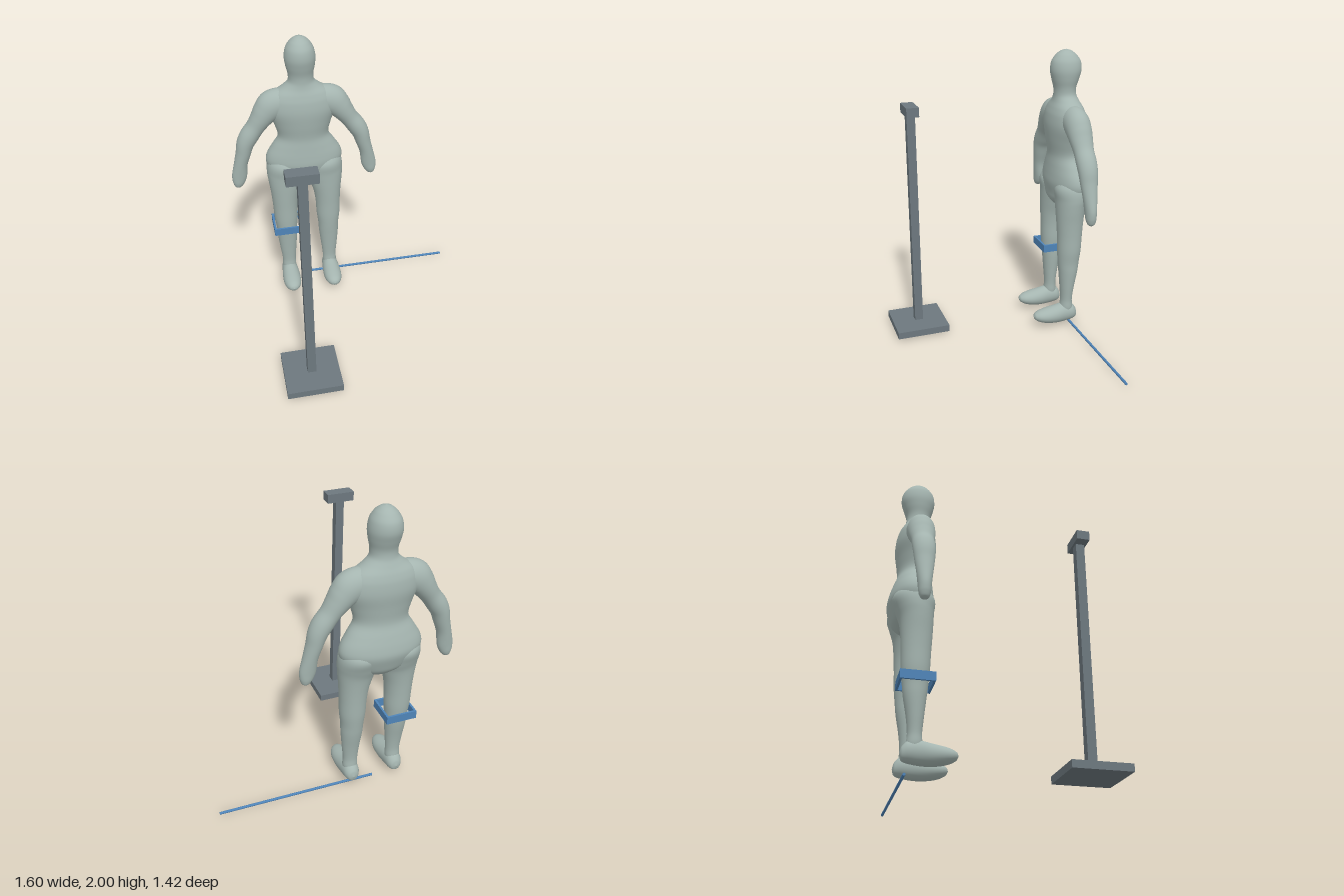
import * as THREE from 'three';

const mat = (name, color) => {
  const m = new THREE.MeshStandardMaterial({ color });
  m.name = name;
  return m;
};

// Smooth loft through sections [x, y, z, ru, rv]; v is the fixed axis of rv
function loft(sections, v, steps = 5, sides = 32) {
  const path = new THREE.CatmullRomCurve3(sections.map(s => new THREE.Vector3(s[0], s[1], s[2])));
  const radii = new THREE.CatmullRomCurve3(sections.map((s, i) => new THREE.Vector3(s[3], s[4], i * 0.1)));
  const rows = (sections.length - 1) * steps;
  const pos = [], idx = [];
  for (let i = 0; i <= rows; i++) {
    const p = path.getPoint(i / rows), r = radii.getPoint(i / rows);
    const u = new THREE.Vector3().crossVectors(v, path.getTangent(i / rows)).normalize();
    for (let j = 0; j < sides; j++) {
      const a = (j / sides) * Math.PI * 2;
      const q = p.clone()
        .addScaledVector(u, Math.max(r.x, 0.001) * Math.cos(a))
        .addScaledVector(v, Math.max(r.y, 0.001) * Math.sin(a));
      pos.push(q.x, q.y, q.z);
      if (i < rows) {
        const k = (j + 1) % sides, b = i * sides, c = b + sides;
        idx.push(b + j, b + k, c + k, b + j, c + k, c + j);
      }
    }
  }
  const g = new THREE.BufferGeometry();
  g.setAttribute('position', new THREE.Float32BufferAttribute(pos, 3));
  g.setIndex(idx);
  g.computeVertexNormals();
  return g;
}

export function createModel() {
  const model = new THREE.Group();
  const skin = mat('paleGreyGreen', 0xa5b5b0);
  const steel = mat('slateGrey', 0x6d787e);
  const blue = mat('blue', 0x4f84b8);
  const X = new THREE.Vector3(0, 1, 0), Z = new THREE.Vector3(0, 0, 1);

  const add = (parent, name, geo, m, x = 0, y = 0, z = 0) => {
    const mesh = new THREE.Mesh(geo, m);
    mesh.name = name;
    mesh.position.set(x, y, z);
    parent.add(mesh);
    return mesh;
  };

  // Figure
  const figure = new THREE.Group();
  figure.name = 'figure';
  figure.position.x = -0.275;
  model.add(figure);

  // Section from [centre x, y, half width, front z, back z]
  const slice = side => ([x, y, w, f, b]) => [x * side, y, (f + b) / 2, w, (f - b) / 2];

  // Torso, neck and head: y, half width, front z, back z
  const torso = [
    [0.885, 0.01, -0.54, -0.56], [0.9, 0.09, -0.48, -0.62], [0.95, 0.19, -0.44, -0.668],
    [1.0, 0.245, -0.432, -0.688], [1.07, 0.272, -0.422, -0.707], [1.13, 0.262, -0.425, -0.7],
    [1.2, 0.222, -0.432, -0.68], [1.28, 0.178, -0.438, -0.655], [1.38, 0.2, -0.425, -0.662],
    [1.48, 0.235, -0.417, -0.675], [1.56, 0.225, -0.425, -0.67], [1.61, 0.19, -0.44, -0.655],
    [1.65, 0.13, -0.455, -0.635], [1.69, 0.09, -0.462, -0.618], [1.74, 0.086, -0.46, -0.616],
    [1.8, 0.098, -0.445, -0.635], [1.86, 0.104, -0.434, -0.652], [1.92, 0.093, -0.442, -0.645],
    [1.965, 0.065, -0.472, -0.612], [1.99, 0.034, -0.506, -0.578], [2.0, 0.001, -0.541, -0.543],
  ];
  add(figure, 'torsoAndHead', loft(torso.map(s => slice(1)([0, ...s])), Z, 5, 48), skin);

  // Leg: centre x, y, half width, front z, back z
  const leg = [
    [0.157, 0.08, 0.03, -0.5, -0.56], [0.157, 0.13, 0.05, -0.478, -0.572],
    [0.156, 0.2, 0.05, -0.482, -0.567], [0.157, 0.3, 0.06, -0.475, -0.578],
    [0.157, 0.42, 0.072, -0.464, -0.6], [0.157, 0.5, 0.076, -0.456, -0.61],
    [0.158, 0.59, 0.086, -0.45, -0.62], [0.158, 0.7, 0.09, -0.447, -0.625],
    [0.155, 0.8, 0.1, -0.442, -0.632], [0.147, 0.9, 0.12, -0.438, -0.645],
    [0.14, 0.97, 0.133, -0.435, -0.668], [0.137, 1.05, 0.128, -0.43, -0.69],
    [0.13, 1.12, 0.08, -0.47, -0.65],
  ];
  // Foot: z, half width, bottom y, top y
  const foot = [
    [-0.606, 0.001, 0.08, 0.082], [-0.596, 0.032, 0.045, 0.12], [-0.565, 0.052, 0.03, 0.155],
    [-0.5, 0.06, 0.021, 0.165], [-0.43, 0.066, 0.02, 0.152], [-0.36, 0.064, 0.03, 0.139],
    [-0.31, 0.05, 0.046, 0.126], [-0.28, 0.027, 0.066, 0.109], [-0.27, 0.001, 0.087, 0.089],
  ];
  // Arm from shoulder to fingertips: x, y, half width, half depth
  const arm = [
    [0.06, 1.53, 0.07, 0.06], [0.13, 1.535, 0.1, 0.083], [0.2, 1.52, 0.106, 0.088],
    [0.245, 1.48, 0.092, 0.086], [0.283, 1.43, 0.076, 0.08], [0.328, 1.365, 0.064, 0.07],
    [0.375, 1.3, 0.066, 0.07], [0.405, 1.245, 0.061, 0.067], [0.426, 1.17, 0.053, 0.06],
    [0.45, 1.085, 0.048, 0.05], [0.468, 0.985, 0.053, 0.04], [0.479, 0.93, 0.042, 0.035],
    [0.486, 0.898, 0.024, 0.024], [0.488, 0.884, 0.001, 0.001],
  ];
  for (const [side, label] of [[1, 'left'], [-1, 'right']]) {
    add(figure, label + 'Leg', loft(leg.map(slice(side)), Z), skin);
    add(figure, label + 'Foot',
      loft(foot.map(([z, w, b, t]) => [0.157 * side, (b + t) / 2, z, w, (t - b) / 2]), X), skin);
    add(figure, label + 'Arm',
      loft(arm.map(([x, y, w, d]) => [x * side, y, -0.545, w, d]), Z), skin);
  }

  // Square open band round the right knee
  const band = new THREE.Group();
  band.name = 'kneeBand';
  band.position.set(-0.428, 0.522, -0.531);
  model.add(band);
  for (const s of [-1, 1]) {
    add(band, 'bandLongSide', new THREE.BoxGeometry(0.21, 0.056, 0.014), blue, 0, 0, s * 0.097);
    add(band, 'bandShortSide', new THREE.BoxGeometry(0.014, 0.056, 0.18), blue, s * 0.098, 0, 0);
  }

  // Thin rod on the ground
  add(model, 'groundRod', new THREE.CylinderGeometry(0.009, 0.009, 1.075, 12), blue, 0.2625, 0.012, -0.552)
    .rotation.z = Math.PI / 2;

  // Post stand in front of the figure
  const stand = new THREE.Group();
  stand.name = 'stand';
  stand.position.set(-0.43, 0, 0.522);
  model.add(stand);
  add(stand, 'standBase', new THREE.BoxGeometry(0.374, 0.048, 0.374), steel, 0, 0.04, 0);
  add(stand, 'standPost', new THREE.BoxGeometry(0.058, 1.54, 0.058), steel, 0, 0.83, 0);
  add(stand, 'standHead', new THREE.BoxGeometry(0.192, 0.064, 0.086), steel, 0, 1.624, 0);

  return model;
}
